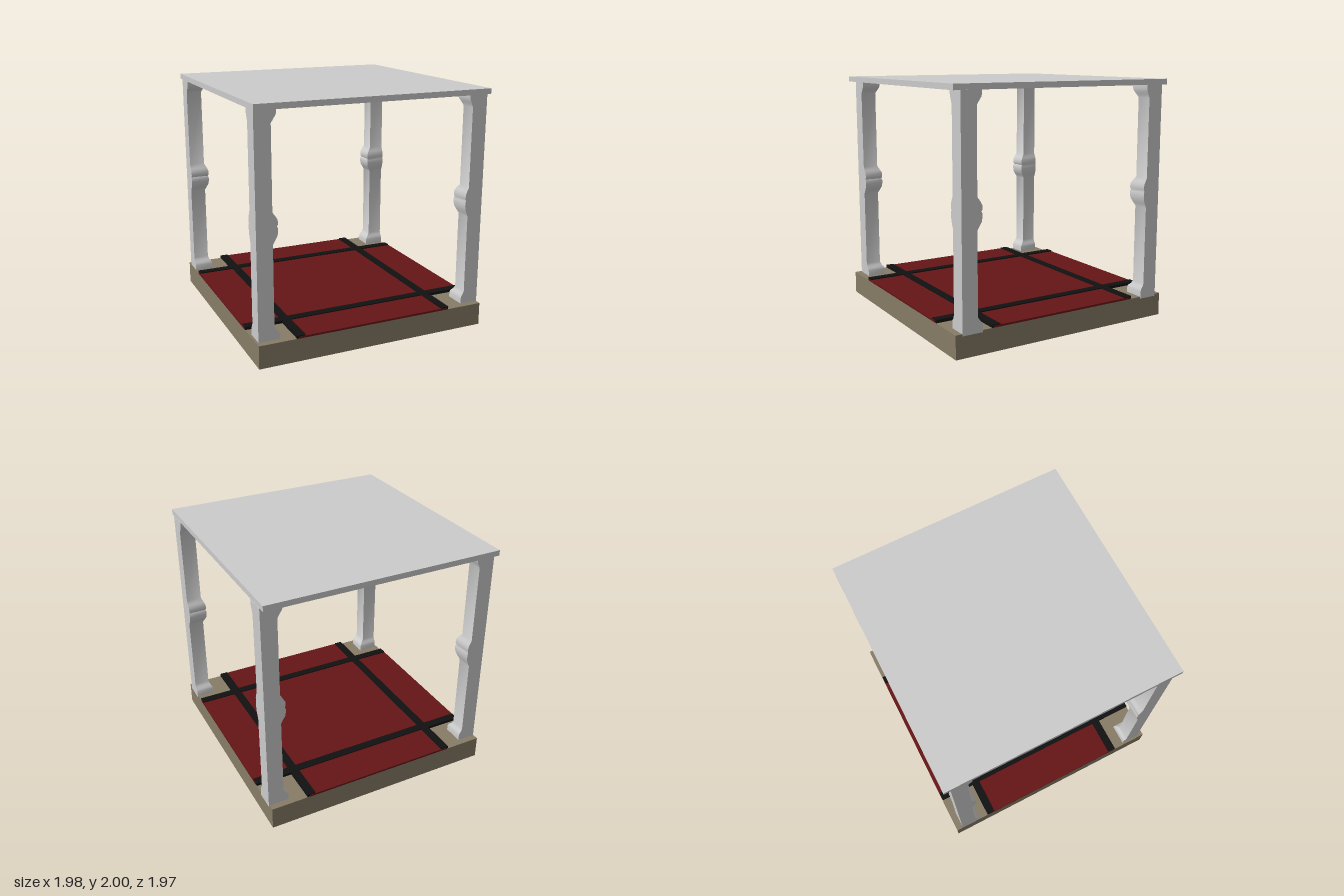
import * as THREE from 'three';
import { toCreasedNormals } from 'three/addons/utils/BufferGeometryUtils.js';

const paint = (color) => new THREE.MeshStandardMaterial({ color });
const grey = paint(0xcccccc);
const stone = paint(0x867c66);
const red = paint(0x651517);
const black = paint(0x111111);

// Pillar profile: height and how far the moulding swells inward
const PROFILE = [
  [0.175, 0.042], [0.235, 0.042], [0.255, 0.034], [0.275, 0.014], [0.3, 0],
  [0.95, 0], [0.98, 0.019], [1.01, 0.036], [1.04, 0.042], [1.07, 0.042],
  [1.085, 0.034], [1.1, 0.042], [1.135, 0.04], [1.16, 0.026], [1.195, 0],
  [1.85, 0], [1.88, 0.019], [1.905, 0.036], [1.925, 0.042], [1.956, 0.042],
];

function box(name, material, w, h, d, x, y, z) {
  const mesh = new THREE.Mesh(new THREE.BoxGeometry(w, h, d), material);
  mesh.name = name;
  mesh.position.set(x, y + h / 2, z);
  return mesh;
}

// Square post whose two inner sides follow the profile; outer sides stay flat
function pillar(name, outerX, outerZ, swellX, swellZ) {
  const size = 0.13;
  const rows = PROFILE.length - 1;
  const geometry = new THREE.BoxGeometry(1, 1, 1, 1, rows, 1);
  const pos = geometry.attributes.position;
  const sx = Math.sign(outerX);
  const sz = Math.sign(outerZ);
  for (let i = 0; i < pos.count; i++) {
    const [y, swell] = PROFILE[Math.round((pos.getY(i) + 0.5) * rows)];
    const innerX = pos.getX(i) * sx < 0;
    const innerZ = pos.getZ(i) * sz < 0;
    pos.setXYZ(
      i,
      outerX - (innerX ? sx * (size + swell * swellX) : 0),
      y,
      outerZ - (innerZ ? sz * (size + swell * swellZ) : 0),
    );
  }
  const mesh = new THREE.Mesh(toCreasedNormals(geometry, 0.7), grey);
  mesh.name = name;
  return mesh;
}

export function createModel() {
  const group = new THREE.Group();
  const cx = -0.003;

  // Plinth and flat roof
  group.add(box('base', stone, 1.97, 0.19, 1.97, cx, 0, 0));
  group.add(box('roof', grey, 1.97, 0.045, 1.97, cx, 1.955, 0));

  // Corner pillars, each with the fuller moulding turned a quarter from the last
  group.add(pillar('frontRightPillar', -0.97, 0.93, 1, 0.65));
  group.add(pillar('frontLeftPillar', 0.986, 0.93, 0.65, 1));
  group.add(pillar('backLeftPillar', 0.986, -0.93, 1, 0.65));
  group.add(pillar('backRightPillar', -0.986, -0.93, 0.65, 1));

  // Cross-shaped red floor covering
  const carpet = new THREE.Group();
  carpet.name = 'carpet';
  carpet.add(box('carpetCentre', red, 1.31, 0.016, 1.974, cx, 0.19, 0));
  for (const s of [-1, 1]) {
    carpet.add(box('carpetSide', red, 0.332, 0.016, 1.31, cx + s * 0.821, 0.19, 0));
  }
  group.add(carpet);

  // Black border strips crossing near the corners
  for (const s of [-1, 1]) {
    group.add(box('lengthwiseStrip', black, 0.07, 0.025, 1.968, cx + s * 0.64, 0.19, 0));
    group.add(box('crosswiseStrip', black, 1.968, 0.024, 0.07, cx, 0.19, s * 0.64));
  }
  return group;
}
